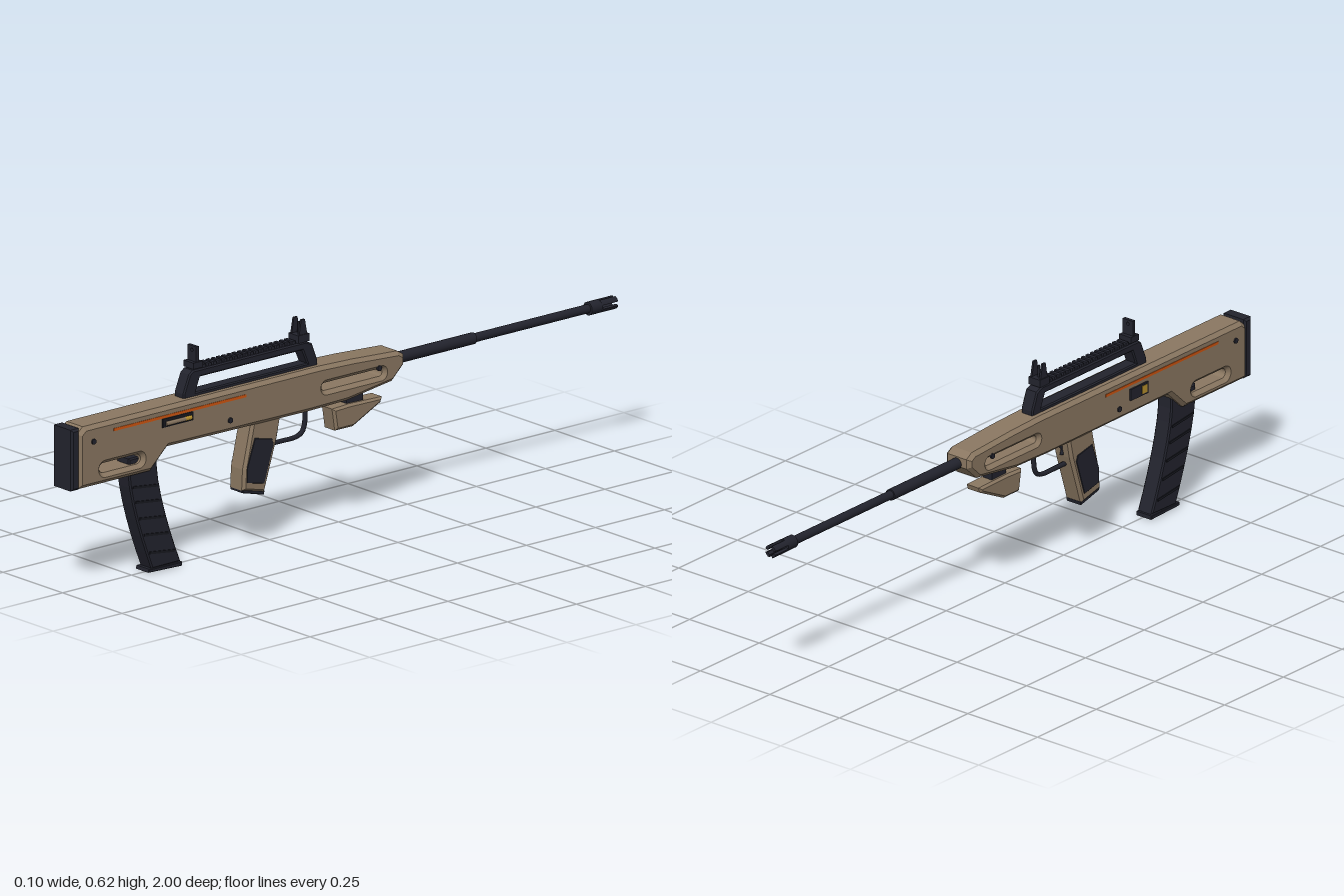
import * as THREE from 'three';

export function createModel() {
  const root = new THREE.Group();
  root.name = 'bullpupRifle';
  const model = new THREE.Group();
  model.position.x = -0.002;
  root.add(model);

  const mat = (name, color) => Object.assign(new THREE.MeshStandardMaterial({ color }), { name });
  const tan = mat('tanPolymer', 0x8a7761);
  const dark = mat('darkMetal', 0x22232d);
  const black = mat('blackRubber', 0x17181f);
  const orange = mat('orangeStripe', 0xcf5510);
  const brass = mat('brass', 0xb8922e);

  const add = (name, geo, m, x = 0, y = 0, z = 0) => {
    const mesh = new THREE.Mesh(geo, m);
    mesh.name = name;
    mesh.position.set(x, y, z);
    model.add(mesh);
    return mesh;
  };
  const box = (name, m, w, h, d, x, y, z) => add(name, new THREE.BoxGeometry(w, h, d), m, x, y, z);

  // Side profile given as [z, y] points, widened along x with chamfered edges
  const profile = (name, m, pts, half, bevel, holes = [], x = 0) => {
    const shape = new THREE.Shape(pts.map(p => new THREE.Vector2(p[0], p[1])));
    shape.holes.push(...holes);
    const geo = new THREE.ExtrudeGeometry(shape, {
      depth: 2 * (half - bevel), bevelEnabled: bevel > 0, bevelSize: bevel,
      bevelThickness: bevel, bevelOffset: -bevel, bevelSegments: 1, curveSegments: 8,
    });
    geo.translate(0, 0, bevel - half).rotateY(-Math.PI / 2);
    return add(name, geo, m, x);
  };
  const slot = (z0, z1, y0, y1) => {
    const r = (y1 - y0) / 2, y = (y0 + y1) / 2, p = new THREE.Path();
    p.absarc(z1 - r, y, r, -Math.PI / 2, Math.PI / 2, false);
    p.absarc(z0 + r, y, r, Math.PI / 2, Math.PI * 1.5, false);
    p.closePath();
    return p;
  };
  // Cylinder lying along z, from z0 to z1
  const rod = (name, m, r, z0, z1, y, x = 0, sides = 16) =>
    add(name, new THREE.CylinderGeometry(r, r, z1 - z0, sides).rotateX(Math.PI / 2), m, x, y, (z0 + z1) / 2);

  // Stock and receiver body
  profile('body', tan, [
    [0.976, 0.30], [0.976, 0.458], [0.955, 0.476], [0.10, 0.476], [-0.02, 0.472], [-0.185, 0.462],
    [-0.207, 0.448], [-0.207, 0.42], [-0.165, 0.38], [0.0, 0.357], [0.14, 0.354], [0.65, 0.358], [0.712, 0.30],
  ], 0.045, 0.011, [slot(0.745, 0.895, 0.329, 0.357), slot(-0.13, 0.09, 0.402, 0.424)]);

  // Butt pad
  profile('buttPad', dark, [[0.97, 0.299], [1, 0.299], [1, 0.475], [0.97, 0.475]], 0.041, 0.006);

  // Stripes and pins on both sides
  for (const s of [-1, 1]) {
    box('stripe', orange, 0.002, 0.008, 0.48, s * 0.0455, 0.449, 0.612);
    for (const [z, y] of [[0.925, 0.43], [0.43, 0.39], [-0.11, 0.43]])
      add('pin', new THREE.CylinderGeometry(0.008, 0.008, 0.006, 10).rotateZ(Math.PI / 2), dark, s * 0.046, y, z);
  }

  // Ejection port with a round showing, left side
  box('portPlate', black, 0.004, 0.025, 0.112, 0.0455, 0.431, 0.62);
  rod('chamberedRound', tan, 0.007, 0.595, 0.665, 0.428, 0.046, 8);
  rod('roundTip', brass, 0.007, 0.572, 0.595, 0.428, 0.046, 8);

  // Selector, right side
  box('selectorPlate', dark, 0.008, 0.034, 0.075, -0.046, 0.418, 0.512);
  box('selectorMark', brass, 0.002, 0.024, 0.022, -0.0505, 0.418, 0.533);

  // Carry handle with a toothed rail
  const opening = new THREE.Path([[0.532, 0.486], [0.516, 0.527], [0.146, 0.527], [0.128, 0.486]]
    .map(p => new THREE.Vector2(...p)));
  profile('carryHandle', dark, [
    [0.577, 0.47], [0.577, 0.488], [0.556, 0.54], [0.543, 0.55], [0.133, 0.55], [0.11, 0.54], [0.09, 0.488], [0.09, 0.47],
  ], 0.021, 0.004, [opening]);
  for (let i = 0; i < 18; i++) box('railTooth', dark, 0.034, 0.012, 0.011, 0, 0.553, 0.175 + i * 0.019);

  // Rear sight: upright plate with a peep hole
  box('rearSightBase', dark, 0.042, 0.018, 0.034, 0, 0.562, 0.525);
  const leaf = new THREE.Shape([[-0.018, 0.568], [0.018, 0.568], [0.018, 0.615], [-0.018, 0.615]]
    .map(p => new THREE.Vector2(...p)));
  leaf.holes.push(new THREE.Path().absarc(0, 0.603, 0.005, 0, Math.PI * 2, true));
  add('rearSightLeaf', new THREE.ExtrudeGeometry(leaf, { depth: 0.01, bevelEnabled: false }), dark, 0, 0, 0.52);

  // Front sight: post between two wings
  box('frontSightBase', dark, 0.042, 0.022, 0.04, 0, 0.561, 0.142);
  add('frontSightPost', new THREE.CylinderGeometry(0.003, 0.005, 0.035, 8), dark, 0, 0.588, 0.142);
  for (const s of [-1, 1])
    profile('frontSightWing', dark, [[0.157, 0.57], [0.149, 0.615], [0.136, 0.615], [0.127, 0.57]], 0.003, 0, [], s * 0.0155);

  // Barrel and slotted muzzle
  rod('barrelBase', dark, 0.0165, -0.49, -0.19, 0.428);
  rod('barrel', dark, 0.0125, -0.92, -0.48, 0.428);
  rod('muzzleCollar', dark, 0.019, -0.945, -0.905, 0.428);
  for (let i = 0; i < 4; i++) {
    const a = i * Math.PI / 2 + 0.3, b = (i + 1) * Math.PI / 2 - 0.3;
    const arc = new THREE.Shape();
    arc.absarc(0, 0, 0.019, a, b, false);
    arc.absarc(0, 0, 0.01, b, a, true);
    add('muzzleProng', new THREE.ExtrudeGeometry(arc, { depth: 0.058, bevelEnabled: false, curveSegments: 5 }),
      dark, 0, 0.428, -1);
  }

  // Curved magazine: rear edge sweeps forward as it descends
  const rearEdge = y => 0.78 - 0.085 * Math.pow((0.30 - y) / 0.29, 1.4);
  const levels = [0.012, 0.06, 0.11, 0.16, 0.21, 0.26, 0.30];
  profile('magazine', dark, [
    ...levels.map(y => [rearEdge(y), y]), [0.78, 0.345], [0.676, 0.345],
    ...levels.slice().reverse().map(y => [rearEdge(y) - 0.104, y + 0.002]),
  ], 0.026, 0.004);
  for (const y of [0.055, 0.11, 0.16, 0.21, 0.255])
    for (const s of [-1, 1]) {
      const rib = box('magazineRib', black, 0.004, 0.007, 0.09, s * 0.0265, y, rearEdge(y) - 0.052);
      rib.rotation.x = -0.12;
    }
  profile('magazineBase', dark, [[0.71, 0.004], [0.708, 0.014], [0.588, 0.012], [0.588, 0]], 0.028, 0.002);

  // Pistol grip with dark side panels and foot
  profile('grip', tan, [
    [0.336, 0.365], [0.345, 0.325], [0.367, 0.23], [0.37, 0.17], [0.29, 0.15], [0.243, 0.30], [0.23, 0.365],
  ], 0.032, 0.008);
  for (const s of [-1, 1])
    profile('gripPanel', dark, [[0.33, 0.315], [0.268, 0.302], [0.262, 0.285], [0.296, 0.178], [0.358, 0.192], [0.358, 0.235]],
      0.003, 0.001, [], s * 0.0315);
  profile('gripFoot', dark, [[0.368, 0.163], [0.369, 0.173], [0.288, 0.154], [0.291, 0.143]], 0.027, 0.002);

  // Trigger and guard
  const tube = (name, pts, r) => add(name, new THREE.TubeGeometry(
    new THREE.CatmullRomCurve3(pts.map(p => new THREE.Vector3(0, p[1], p[0])), false, 'centripetal'), 28, r, 8), dark);
  tube('triggerGuard', [[0.26, 0.275], [0.20, 0.274], [0.155, 0.275], [0.132, 0.284], [0.122, 0.305], [0.119, 0.365]], 0.007);
  tube('trigger', [[0.225, 0.36], [0.232, 0.335], [0.242, 0.32], [0.238, 0.305]], 0.005);

  // Angled foregrip and its mount
  box('foregripMount', dark, 0.032, 0.045, 0.06, 0, 0.35, -0.047);
  profile('foregrip', tan, [[0.04, 0.337], [0.03, 0.273], [-0.035, 0.273], [-0.135, 0.322], [-0.14, 0.337], [-0.02, 0.34]],
    0.028, 0.007);

  return root;
}
